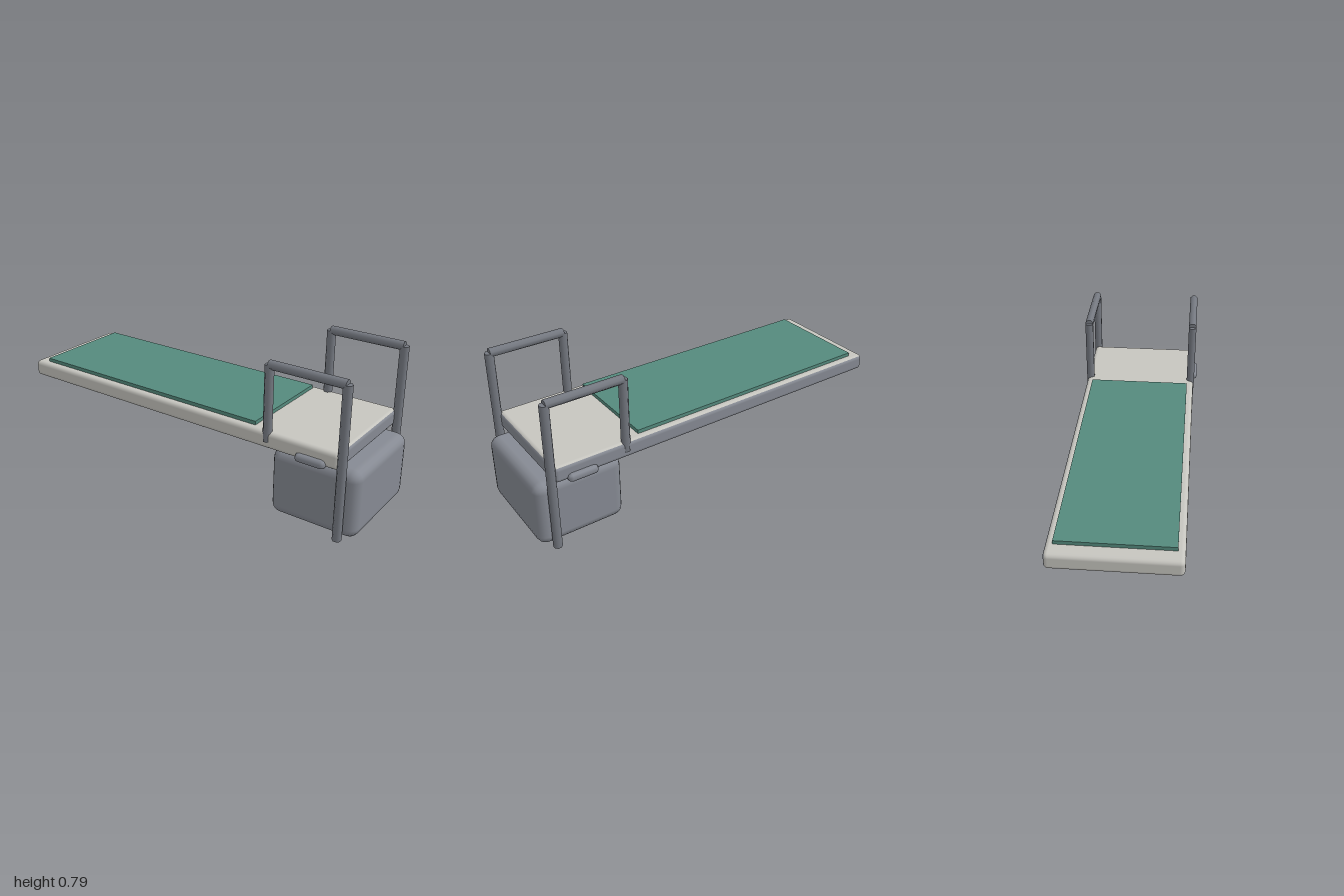
import * as THREE from 'three';
import { RoundedBoxGeometry } from 'three/addons/geometries/RoundedBoxGeometry.js';

function material(name, color) {
  const m = new THREE.MeshStandardMaterial({ color });
  m.name = name;
  return m;
}

export function createModel() {
  const model = new THREE.Group();
  model.name = 'platform';
  const pale = material('pale grey', 0xc6c5bf);
  const grey = material('steel grey', 0x868a93);
  const railGrey = material('rail grey', 0x757981);
  const green = material('mat green', 0x558a7d);

  const add = (name, geometry, mat, x, y, z, parent = model) => {
    const mesh = new THREE.Mesh(geometry, mat);
    mesh.name = name;
    mesh.position.set(x, y, z);
    parent.add(mesh);
    return mesh;
  };

  // Long board: pale top, back and one side; grey elsewhere (+x, -x, +y, -y, +z, -z)
  add('board', new RoundedBoxGeometry(0.61, 0.085, 1.915, 2, 0.022),
    [grey, pale, pale, grey, grey, pale], 0, 0.3975, -0.0425);

  // Thin mat lying on the board
  add('mat', new THREE.BoxGeometry(0.54, 0.02, 1.385), green, 0, 0.449, -0.235);

  // Rounded base block under the front end
  add('base', new RoundedBoxGeometry(0.54, 0.345, 0.455, 2, 0.05), grey, 0, 0.1725, 0.7725);

  // Octagonal bar of given length, standing along y
  const bar = (length) => new THREE.CylinderGeometry(0.0225, 0.0225, length, 8)
    .rotateY(Math.PI / 8);

  // Handrail and side grip on each side
  for (const side of [-1, 1]) {
    const rail = new THREE.Group();
    rail.name = side > 0 ? 'leftHandrail' : 'rightHandrail';
    rail.position.x = side * 0.289;
    model.add(rail);
    add('frontPost', bar(0.77), railGrey, 0, 0.385, 0.925, rail);
    add('rearPost', bar(0.38), railGrey, 0, 0.58, 0.537, rail);
    add('topBar', bar(0.388).rotateX(Math.PI / 2), railGrey, 0, 0.77, 0.731, rail);
    add(side > 0 ? 'leftGrip' : 'rightGrip',
      new RoundedBoxGeometry(0.054, 0.044, 0.155, 1, 0.02), grey, side * 0.3, 0.368, 0.775);
  }

  return model;
}
